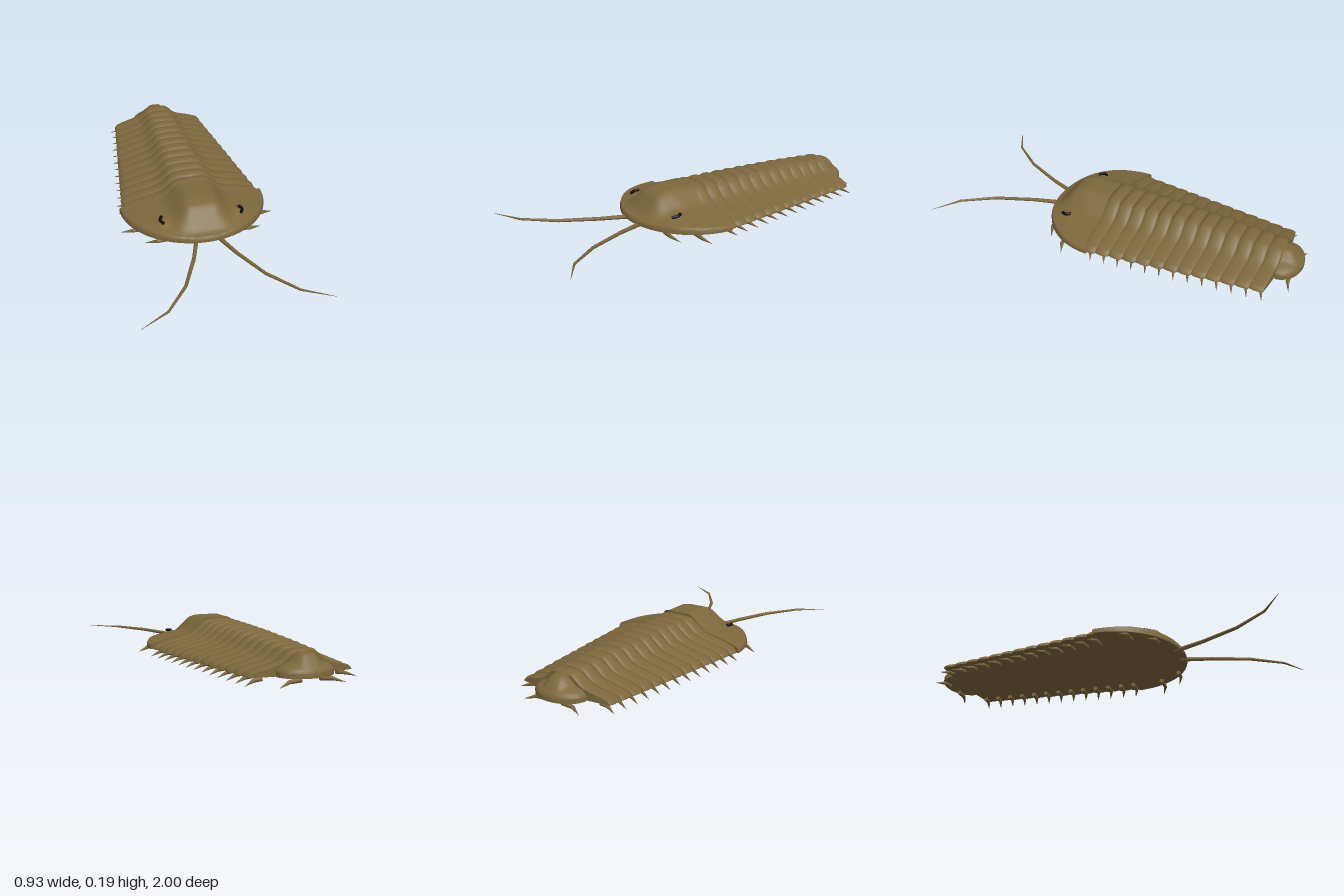
import * as THREE from 'three';
import { toCreasedNormals } from 'three/addons/utils/BufferGeometryUtils.js';

const shellMat = new THREE.MeshStandardMaterial({ color: 0x7d673d });
shellMat.name = 'brown shell';
const eyeMat = new THREE.MeshStandardMaterial({ color: 0x0c0b09, side: THREE.DoubleSide });
eyeMat.name = 'black eye';

const BASE = 0.036; // height of the flat underside
const V = (x, y, z) => new THREE.Vector3(x, y, z);
const smooth = THREE.MathUtils.smoothstep;

// Closed shell lofted from front to back; top(u, i) gives a point for u from 1 to -1,
// and the first and last rows are flattened to the underside as end walls.
function loft(name, rows, n, top) {
  const pos = [], index = [], m = 2 * n;
  const all = [0, ...Array.from({ length: rows }, (_, i) => i), rows - 1];
  all.forEach((row, i) => {
    for (let j = 0; j < m; j++) {
      const s = j <= n ? 1 - 2 * j / n : -1 + 2 * (j - n) / n;
      const p = top(Math.sin(s * Math.PI / 2), row);
      const flat = j >= n || j === 0 || i === 0 || i === all.length - 1;
      pos.push(p.x, flat ? BASE : p.y, p.z);
      if (i === all.length - 1) continue;
      const a = i * m + j, b = i * m + (j + 1) % m;
      index.push(a, a + m, b, b, a + m, b + m);
    }
  });
  const g = new THREE.BufferGeometry();
  g.setAttribute('position', new THREE.Float32BufferAttribute(pos, 3));
  g.setIndex(index);
  const mesh = new THREE.Mesh(toCreasedNormals(g, 0.9), shellMat);
  mesh.name = name;
  return mesh;
}

// Tapered rod between two points
function rod(name, a, b, ra, rb, sides = 8) {
  const d = b.clone().sub(a);
  const mesh = new THREE.Mesh(new THREE.CylinderGeometry(rb, ra, d.length(), sides), shellMat);
  mesh.position.copy(a).addScaledVector(d, 0.5);
  mesh.quaternion.setFromUnitVectors(V(0, 1, 0), d.normalize());
  mesh.name = name;
  return mesh;
}

// Height of the head shield, with its raised central lobe
function headHeight(x, d) {
  const a = Math.abs(x) / 0.4, b = d / 0.35;
  const r = Math.cbrt(a ** 3 + b ** 3), edge = Math.max(0, 1 - Math.hypot(a, b));
  let h = 0.062 + 0.08 * Math.min(0.56, 1 - r);
  h += 0.081 * (1 - smooth(Math.abs(x), 0.06, 0.185)) * (1 - smooth(d, 0.2, 0.325));
  h += 0.012 * Math.exp(-(((Math.abs(x) - 0.2) / 0.03) ** 2) - ((d - 0.19) / 0.04) ** 2);
  return BASE + (h - BASE) * Math.min(1, 0.35 + Math.sqrt(edge / 0.05));
}

function head() {
  const rows = 36;
  return loft('headShield', rows, 64, (u, i) => {
    const v = (1 - i / (rows - 1)) * Math.PI / 2;
    const x = 0.4 * Math.cos(v) * u, d = 0.35 * Math.sin(v);
    return V(x, headHeight(x, d), 0.08 + d - 0.03 * u ** 6 * (1 - Math.sin(v)));
  });
}

function tail() {
  const rows = 14;
  return loft('tailShield', rows, 40, (u, i) => {
    const v = i / (rows - 1) * Math.PI / 2;
    const x = 0.145 * Math.cos(v) * u, d = 0.105 * Math.sin(v);
    const r = Math.min(1, Math.hypot(x / 0.145, d / 0.105));
    const lobe = 1 - smooth(Math.abs(x), 0.025, 0.085 - 0.3 * d);
    const h = 0.055 + 0.05 * Math.sqrt(1 - r * r) + 0.038 * lobe * (1 - smooth(d, 0.03, 0.095));
    return V(x, h, -0.895 - d);
  });
}

// Half cross-section of a body ring: fraction of the half width, height
const PROFILE = [[0, 0.184], [0.2, 0.182], [0.27, 0.168], [0.36, 0.132], [0.44, 0.112],
  [0.55, 0.099], [0.8, 0.077], [0.95, 0.06], [1, 0.042]];
function ringHeight(f) {
  const k = Math.max(1, PROFILE.findIndex(p => p[0] >= f - 1e-6));
  const [a, b] = [PROFILE[k - 1], PROFILE[k]];
  return THREE.MathUtils.lerp(a[1], b[1], (f - a[0]) / (b[0] - a[0]));
}

const RINGS = 13, PITCH = 0.0755;
const ringWidth = k => 0.388 - 0.113 * k / (RINGS - 1);

function bodyRing(k) {
  const rows = 9, w = ringWidth(k), drop = 1 - 0.2 * (k / 12) ** 2;
  return loft('bodyRing', rows, 40, (u, i) => {
    const t = i / (rows - 1), bulge = Math.sqrt(Math.sin(Math.PI * t) + 1e-9);
    const h = BASE + (ringHeight(Math.abs(u)) - BASE) * drop * (0.91 + 0.09 * bulge);
    return V(w * u * (0.97 + 0.03 * bulge), h, 0.085 - (k + t) * PITCH + 0.02 * u * u * k / 12);
  });
}

// Short leg with a swept-back claw
function leg(side, inner, tip, z) {
  const g = new THREE.Group();
  g.name = 'leg';
  const knee = V(side * (tip - 0.06), 0.02, z);
  g.add(rod('legBase', V(side * inner, 0.025, z), knee, 0.012, 0.01),
    rod('legClaw', knee, V(side * tip, 0.002, z - 0.025), 0.01, 0.0005));
  return g;
}

export function createModel() {
  const model = new THREE.Group();
  model.name = 'armouredArthropod';
  model.add(head(), tail());
  for (let k = 0; k < RINGS; k++) model.add(bodyRing(k));

  const feeler = [[0.055, 0.035, 0.39], [0.11, 0.039, 0.55], [0.2, 0.044, 0.75],
    [0.32, 0.049, 0.91], [0.465, 0.053, 1]];
  const radii = [0.012, 0.01, 0.0085, 0.006, 0.0008];

  for (const s of [1, -1]) {
    // Legs under the head, each body ring and the tail
    model.add(leg(s, 0.2, 0.315, 0.34), leg(s, 0.28, 0.42, 0.22), leg(s, 0.05, 0.17, -0.955));
    for (let k = 0; k < RINGS; k++) {
      const w = ringWidth(k);
      model.add(leg(s, 0.72 * w, w + 0.02, 0.05 - k * PITCH));
    }
    // Jointed feelers
    const antenna = new THREE.Group();
    antenna.name = s > 0 ? 'leftAntenna' : 'rightAntenna';
    const pts = feeler.map(([x, y, z]) => V(s * x, y, z));
    for (let i = 0; i < 4; i++)
      antenna.add(rod('antennaJoint', pts[i], pts[i + 1], radii[i], radii[i + 1]));
    model.add(antenna);
    // Crescent eyes
    const arc = new THREE.CatmullRomCurve3([V(s * 0.209, 0.106, 0.248), V(s * 0.222, 0.103, 0.272),
      V(s * 0.209, 0.098, 0.302)]);
    const eye = new THREE.Mesh(new THREE.TubeGeometry(arc, 12, 0.008, 8), eyeMat);
    eye.name = s > 0 ? 'leftEye' : 'rightEye';
    model.add(eye);
  }
  return model;
}
